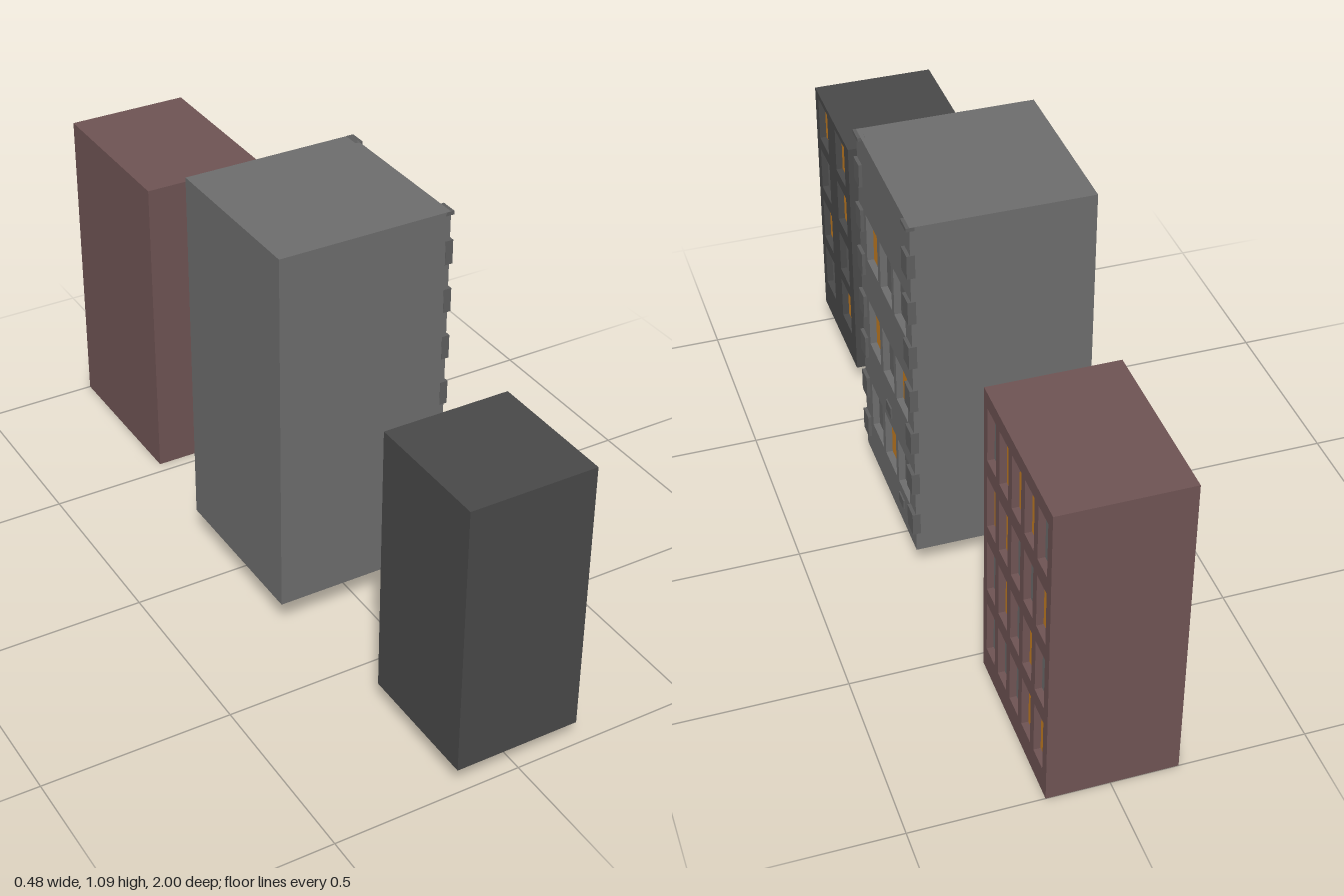
import * as THREE from 'three';

const RECESS = 0.02;
const mat = (color) => new THREE.MeshStandardMaterial({ color, flatShading: true });
const litGlass = mat(0xc47d22);

function addBox(parent, name, material, [x0, x1], [y0, y1], [z0, z1]) {
  const mesh = new THREE.Mesh(new THREE.BoxGeometry(x1 - x0, y1 - y0, z1 - z0), material);
  mesh.position.set((x0 + x1) / 2, (y0 + y1) / 2, (z0 + z1) / 2);
  mesh.name = name;
  parent.add(mesh);
}

// Rectangle corners on the facade plane, where u runs along -z
function rect(PathClass, u0, u1, y0, y1) {
  return new PathClass([[u0, y0], [u1, y0], [u1, y1], [u0, y1]].map((p) => new THREE.Vector2(...p)));
}

// Block with recessed windows on its +x wall; each row of `lit` marks lit windows with 1
function building({ name, wall, glass, x, y, z, cols, rows, size, lit }) {
  const group = new THREE.Group();
  group.name = name;
  const wallMat = mat(wall), darkGlass = mat(glass);
  const [w, h] = size;
  const back = x[1] - RECESS;
  addBox(group, 'body', wallMat, [x[0], back], y, z);

  const shape = rect(THREE.Shape, -z[1], -z[0], y[0], y[1]);
  rows.forEach((cy, r) => cols.forEach((cz, c) => {
    shape.holes.push(rect(THREE.Path, -cz - w / 2, -cz + w / 2, cy - h / 2, cy + h / 2));
    const pane = new THREE.Mesh(new THREE.PlaneGeometry(w, h), lit[r][c] === '1' ? litGlass : darkGlass);
    pane.rotation.y = Math.PI / 2;
    pane.position.set(back + 0.002, cy, cz);
    pane.name = 'windowPane';
    group.add(pane);
  }));

  const facade = new THREE.Mesh(
    new THREE.ExtrudeGeometry(shape, { depth: RECESS, bevelEnabled: false }), wallMat);
  facade.rotation.y = Math.PI / 2;
  facade.position.x = back;
  facade.name = 'windowWall';
  group.add(facade);
  return group;
}

export function createModel() {
  const model = new THREE.Group();
  model.name = 'buildingRow';

  model.add(building({
    name: 'smallBuilding', wall: 0x484848, glass: 0x626262,
    x: [-0.173, 0.161], y: [0.07, 0.805], z: [0.649, 1],
    cols: [0.919, 0.741], rows: [0.724, 0.56, 0.39, 0.227], size: [0.097, 0.128],
    lit: ['11', '01', '10', '01'],
  }));

  const stone = building({
    name: 'stoneBuilding', wall: 0x6c6c6c, glass: 0x646464,
    x: [-0.239, 0.227], y: [0.09, 1.088], z: [-0.176, 0.29],
    cols: [0.174, 0.049, -0.073], rows: [0.805, 0.541, 0.27], size: [0.102, 0.138],
    lit: ['100', '101', '010'],
  });
  model.add(stone);

  // Corner stones up both edges of the window wall
  const trim = mat(0x5e5e5e);
  for (let i = 0; i < 8; i++) {
    const y0 = 0.145 + i * 0.1333;
    const y = [y0, Math.min(y0 + 0.065, 1.088)];
    addBox(stone, 'cornerStone', trim, [0.215, 0.236], y, [0.245, 0.291]);
    addBox(stone, 'cornerStone', trim, [0.215, 0.236], y, [-0.177, -0.13]);
  }
  // Loose raised bricks
  addBox(stone, 'raisedBrick', trim, [0.215, 0.231], [0.37, 0.402], [0.027, 0.072]);
  addBox(stone, 'raisedBrick', trim, [0.215, 0.231], [0.144, 0.172], [-0.072, -0.03]);

  model.add(building({
    name: 'brickBuilding', wall: 0x6e5353, glass: 0x6c6c6c,
    x: [-0.173, 0.161], y: [0, 0.87], z: [-1, -0.533],
    cols: [0, 1, 2, 3, 4].map((i) => -0.589 - i * 0.088),
    rows: [0.751, 0.55, 0.349, 0.149], size: [0.063, 0.153],
    lit: ['01110', '11001', '01010', '00011'],
  }));
  return model;
}
